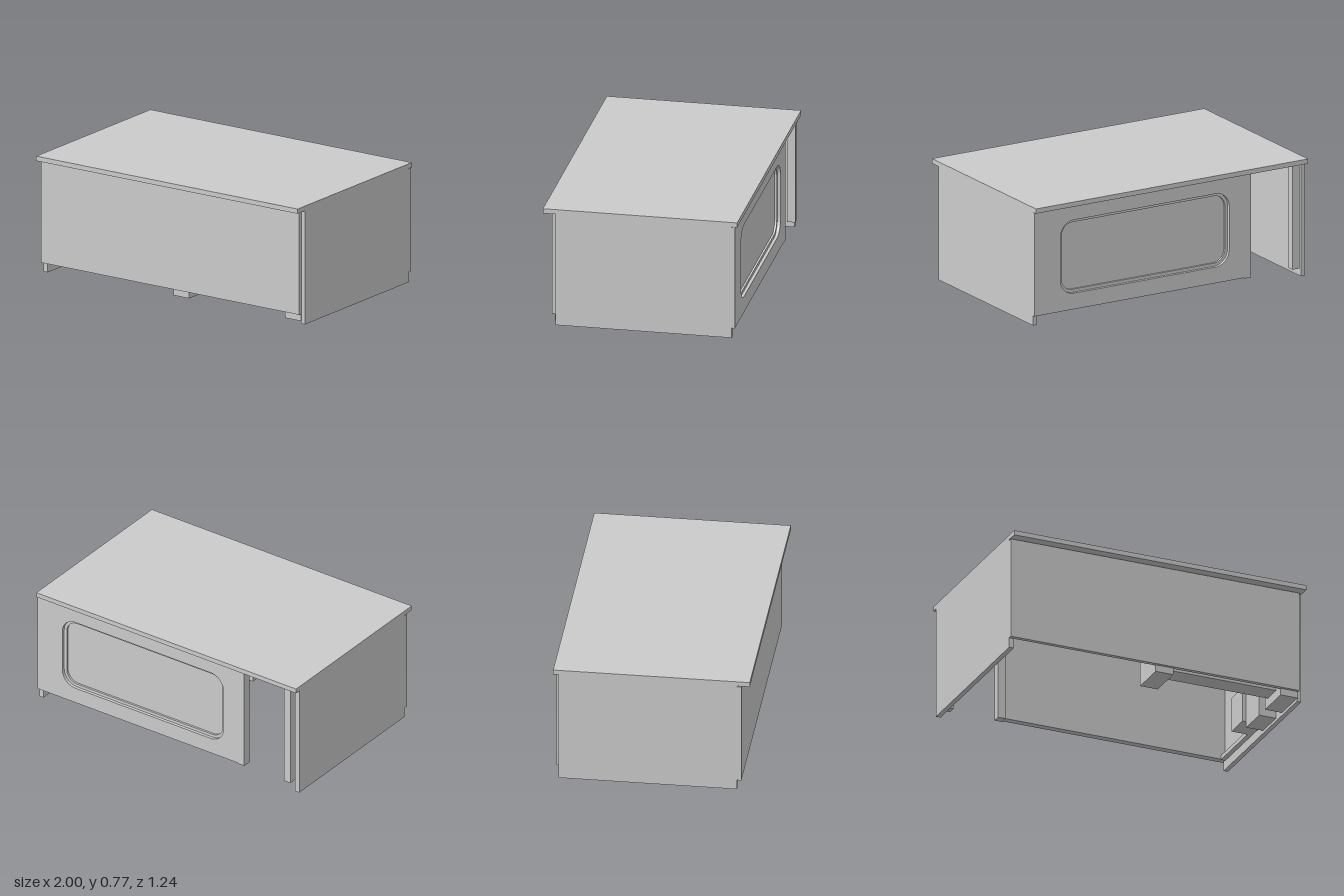
import * as THREE from 'three';

const material = new THREE.MeshStandardMaterial({ color: 0xcccccc, flatShading: true });

// Box given by its minimum and maximum on each axis
function box(group, name, [x0, x1], [y0, y1], [z0, z1]) {
  const mesh = new THREE.Mesh(new THREE.BoxGeometry(x1 - x0, y1 - y0, z1 - z0), material);
  mesh.position.set((x0 + x1) / 2, (y0 + y1) / 2, (z0 + z1) / 2);
  mesh.name = name;
  group.add(mesh);
}

function roundedRect(path, x0, x1, y0, y1, r) {
  path.moveTo(x0 + r, y0);
  path.lineTo(x1 - r, y0);
  path.absarc(x1 - r, y0 + r, r, -Math.PI / 2, 0);
  path.lineTo(x1, y1 - r);
  path.absarc(x1 - r, y1 - r, r, 0, Math.PI / 2);
  path.lineTo(x0 + r, y1);
  path.absarc(x0 + r, y1 - r, r, Math.PI / 2, Math.PI);
  path.lineTo(x0, y0 + r);
  path.absarc(x0 + r, y0 + r, r, Math.PI, Math.PI * 1.5);
  return path;
}

// Flat frame with a rounded opening; inset shrinks the opening
function frame(group, name, [x0, x1], [z0, z1], inset) {
  const shape = new THREE.Shape();
  shape.moveTo(x0, 0.065);
  shape.lineTo(x1, 0.065);
  shape.lineTo(x1, 0.74);
  shape.lineTo(x0, 0.74);
  shape.closePath();
  shape.holes.push(roundedRect(new THREE.Path(), -0.43 + inset, 0.81 - inset, 0.17 + inset, 0.65 - inset, 0.1 - inset));
  const geometry = new THREE.ExtrudeGeometry(shape, { depth: z1 - z0, bevelEnabled: false, curveSegments: 8 });
  const mesh = new THREE.Mesh(geometry, material);
  mesh.position.z = z0;
  mesh.name = name;
  group.add(mesh);
}

export function createModel() {
  const desk = new THREE.Group();
  desk.name = 'desk';

  // Top, sides and front panel
  box(desk, 'deskTop', [-1, 1], [0.742, 0.773], [-0.62, 0.62]);
  box(desk, 'leftSidePanel', [0.97, 1], [0, 0.742], [-0.585, 0.54]);
  box(desk, 'rightSidePanel', [-1, -0.968], [0, 0.742], [-0.585, 0.54]);
  box(desk, 'frontPanel', [-1, 0.975], [0.065, 0.737], [0.54, 0.567]);

  // Back panel with a stepped, rounded recess
  frame(desk, 'backPanelFrame', [-0.545, 1], [-0.605, -0.585], 0);
  frame(desk, 'backPanelStep', [-0.545, 0.97], [-0.585, -0.572], 0.02);
  box(desk, 'recessBoard', [-0.545, 0.97], [0.065, 0.74], [-0.572, -0.56]);

  // Posts on both sides of the knee opening
  for (const x of [-0.59, -0.945])
    box(desk, 'kneePost', [x, x + 0.05], [0.06, 0.742], [-0.605, -0.55]);

  // Feet blocks and low rails inside
  for (const x of [0, 0.855])
    box(desk, 'footBlock', [x, x + 0.12], [0.02, 0.29], [0.31, 0.549]);
  box(desk, 'sideFootBlock', [0.855, 0.97], [0.02, 0.29], [0.02, 0.22]);
  box(desk, 'sideBracket', [0.83, 0.97], [0.06, 0.29], [-0.15, 0.02]);
  box(desk, 'sideCleat', [0.94, 0.97], [0.06, 0.09], [-0.56, -0.15]);
  box(desk, 'lowRail', [0.12, 0.855], [0.08, 0.1], [0.35, 0.48]);

  return desk;
}
